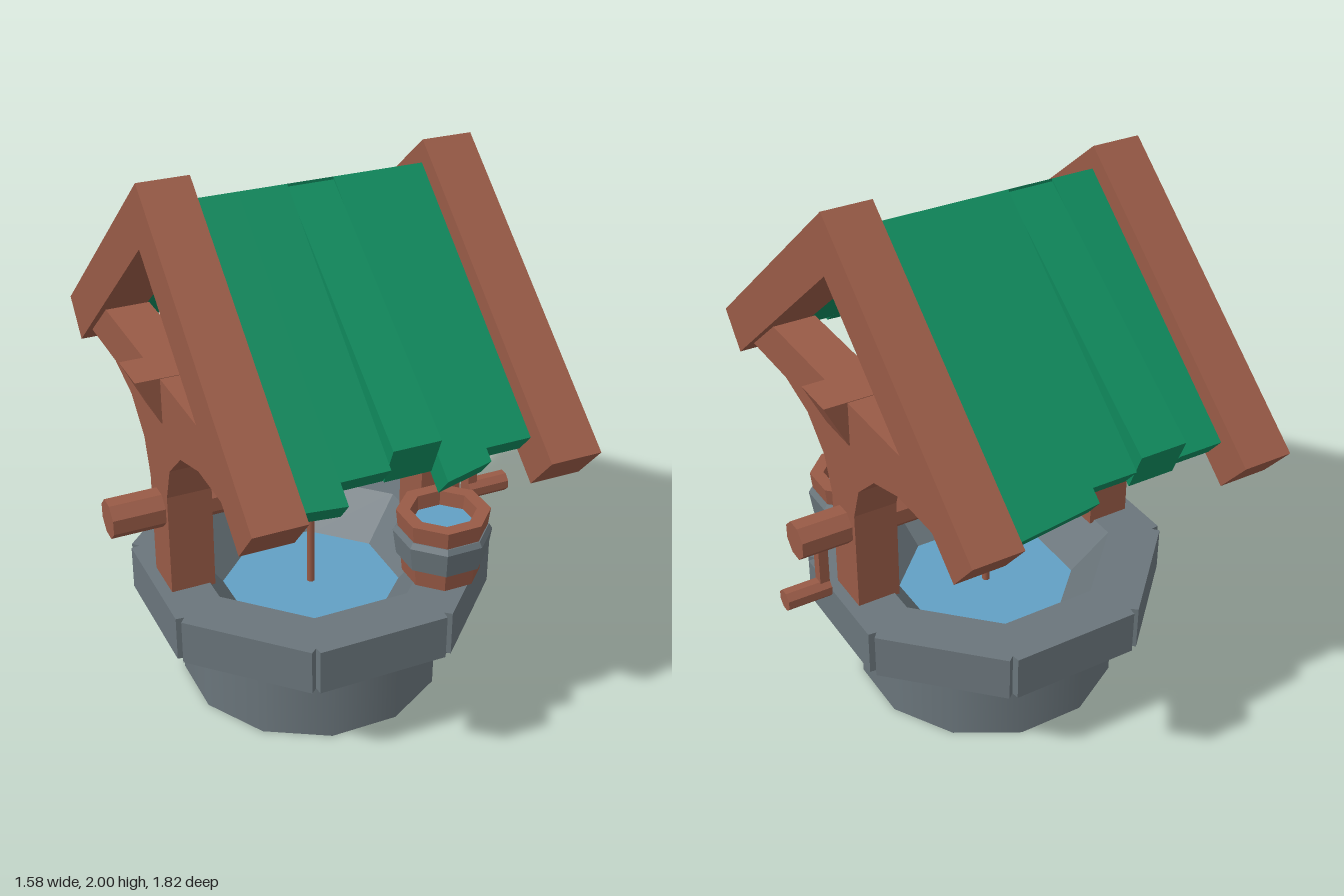
import * as THREE from 'three';
import { toCreasedNormals } from 'three/addons/utils/BufferGeometryUtils.js';

const CX = -0.03; // centre of the well shaft

const mat = (name, color) => {
  const m = new THREE.MeshStandardMaterial({ color });
  m.name = name;
  return m;
};

// Skin a row of convex cross-sections that advance along +x, with flat faces and end caps
function loft(sections) {
  const pos = [];
  const tri = (a, b, c) => pos.push(...a, ...b, ...c);
  const n = sections[0].length;
  for (let i = 0; i < sections.length - 1; i++) {
    for (let j = 0; j < n; j++) {
      const a = sections[i][j], b = sections[i][(j + 1) % n];
      const c = sections[i + 1][(j + 1) % n], d = sections[i + 1][j];
      tri(a, b, d);
      tri(b, c, d);
    }
  }
  const first = sections[0], last = sections[sections.length - 1];
  for (let j = 1; j < n - 1; j++) {
    tri(first[0], first[j + 1], first[j]);
    tri(last[0], last[j], last[j + 1]);
  }
  const g = new THREE.BufferGeometry();
  g.setAttribute('position', new THREE.Float32BufferAttribute(pos, 3));
  g.computeVertexNormals();
  return g;
}

// Extrude a [z, y] outline from x0 to x1
function sideProfile(points, x0, x1) {
  const shape = new THREE.Shape(points.map(([z, y]) => new THREE.Vector2(-z, y)));
  const g = new THREE.ExtrudeGeometry(shape, { depth: x1 - x0, bevelEnabled: false });
  return g.rotateY(Math.PI / 2).translate(x0, 0, 0);
}

// Complete half an outline (z >= 0) with its mirror image
const mirrored = (half) => [...half, ...half.filter(([z]) => z > 0).reverse().map(([z, y]) => [-z, y])];

// Octagonal bar along x with flats on top and bottom
function barX(r, x0, x1, y) {
  const g = new THREE.CylinderGeometry(r / Math.cos(Math.PI / 8), r / Math.cos(Math.PI / 8), x1 - x0, 8);
  g.rotateY(Math.PI / 8).rotateZ(Math.PI / 2).translate((x0 + x1) / 2, y, 0);
  return toCreasedNormals(g, 0.3);
}

function lathe(points, sides) {
  const g = new THREE.LatheGeometry(points.map(([r, y]) => new THREE.Vector2(r, y)), sides);
  return toCreasedNormals(g.rotateY(Math.PI / sides), 0.3);
}

export function createModel() {
  const wood = mat('brown wood', 0x985a46);
  const stone = mat('grey stone', 0x6a757b);
  const green = mat('green roof', 0x0f885c);
  const blue = mat('blue water', 0x62a0c4);

  const root = new THREE.Group();
  root.name = 'well';
  const add = (name, geo, material, parent = root) => {
    const m = new THREE.Mesh(geo, material);
    m.name = name;
    parent.add(m);
    return m;
  };

  // Round stone base
  const base = new THREE.CylinderGeometry(0.487, 0.487, 0.3, 12).rotateY(Math.PI / 12);
  add('base', base.translate(CX, 0.15, 0), stone);

  // Rim of eight stones with chamfered corners and a sloping inner face
  const rim = new THREE.Group();
  rim.name = 'rim';
  rim.position.x = CX;
  root.add(rim);
  const tan = Math.tan(Math.PI / 8);
  const rimSection = (s, outer) => [
    [0.3, 0.285], [0.3, 0.34], [0.43, 0.51], [outer, 0.51], [outer, 0.34], [0.47, 0.285],
  ].map(([r, y]) => [s * r * tan, y, r]);
  const stoneGeo = loft([
    rimSection(-1, 0.585), rimSection(-0.94, 0.615), rimSection(0.94, 0.615), rimSection(1, 0.585),
  ]);
  for (let i = 0; i < 8; i++) add('rimStone', stoneGeo, stone, rim).rotation.y = (i * Math.PI) / 4;

  // Water surface
  const water = new THREE.CircleGeometry(0.335, 8).rotateX(-Math.PI / 2).rotateY(Math.PI / 8);
  add('water', water.translate(CX, 0.345, 0), blue);

  // Posts flaring into the tie beams, and the rafters above them
  const postOutline = mirrored([
    [0.085, 0.5], [0.085, 0.9], [0.13, 1.03], [0.25, 1.14], [0.42, 1.19], [0.7, 1.19], [0.5, 1.355],
  ]);
  const rafterOutline = [
    [0, 2], [0.91, 1.24], [0.8, 1.11], [0, 1.78], [-0.8, 1.11], [-0.91, 1.24],
  ];
  for (const side of [-1, 1]) {
    const span = (a, b) => (side < 0 ? [CX - b, CX - a] : [CX + a, CX + b]);
    add('post', sideProfile(postOutline, ...span(0.41, 0.572)), wood);
    add('rafter', sideProfile(rafterOutline, ...span(0.41, 0.59)), wood);
  }

  // Cross beam with slanted ends
  const beam = new THREE.Shape();
  [[-0.605, 1.19], [0.545, 1.19], [0.628, 1.357], [-0.688, 1.357]].forEach(([x, y], i) =>
    i ? beam.lineTo(x, y) : beam.moveTo(x, y));
  const beamGeo = new THREE.ExtrudeGeometry(beam, { depth: 0.166, bevelEnabled: false });
  add('crossBeam', beamGeo.translate(0, 0, -0.083), wood);

  // Roof planks: [x0, x1, reach at x0, reach at x1, raised]
  const plankSection = (x, reach, raised) => {
    const top = raised ? 1.91 : 1.92;
    const y = top - reach * (raised ? 0.722 : 0.835);
    return [[x, 1.8, 0], [x, top, 0], [x, y, reach], [x, y - (raised ? 0.14 : 0.07), reach - 0.058]];
  };
  const slopes = {
    frontRoof: [
      [-0.44, -0.28, 0.83, 0.84], [-0.28, -0.11, 0.78, 0.78], [-0.11, 0.055, 0.79, 0.79, true],
      [0.055, 0.22, 0.84, 0.815], [0.22, 0.38, 0.78, 0.78],
    ],
    backRoof: [
      [-0.38, -0.055, 0.845, 0.82], [-0.055, 0.11, 0.78, 0.78],
      [0.11, 0.28, 0.8, 0.8, true], [0.28, 0.44, 0.78, 0.78],
    ],
  };
  for (const [name, planks] of Object.entries(slopes)) {
    const slope = new THREE.Group();
    slope.name = name;
    if (name === 'backRoof') slope.rotation.y = Math.PI;
    root.add(slope);
    for (const [x0, x1, l0, l1, raised] of planks) {
      add('roofPlank', loft([plankSection(x0, l0, raised), plankSection(x1, l1, raised)]), green, slope);
    }
  }

  // Winding axle, collar and rope
  add('axle', barX(0.065, -0.79, 0.73, 0.816), wood);
  const collar = add('collar', barX(0.117, -0.07, 0.01, 0.818), stone);
  collar.scale.z = 0.87;
  add('rope', new THREE.CylinderGeometry(0.015, 0.015, 0.41, 8).translate(CX, 0.545, 0), wood);

  // Crank
  add('crankArm', new THREE.BoxGeometry(0.036, 0.2, 0.04).translate(0.637, 0.68, 0), wood);
  add('crankHandle', barX(0.037, 0.619, 0.785, 0.578), wood);

  // Bucket with a hoop, standing on the rim
  const bucket = new THREE.Group();
  bucket.name = 'bucket';
  bucket.position.set(0.328, 0.51, 0.345);
  root.add(bucket);
  add('bucketBody', lathe([[0, 0], [0.14, 0], [0.168, 0.255], [0.118, 0.255], [0.105, 0.1], [0, 0.1]], 8), wood, bucket);
  add('bucketHoop', lathe([[0.14, 0.07], [0.163, 0.075], [0.177, 0.17], [0.165, 0.19], [0.15, 0.19]], 8), stone, bucket);
  const fill = new THREE.CircleGeometry(0.115, 8).rotateX(-Math.PI / 2).rotateY(Math.PI / 8);
  add('bucketWater', fill.translate(0, 0.2, 0), blue, bucket);

  return root;
}
